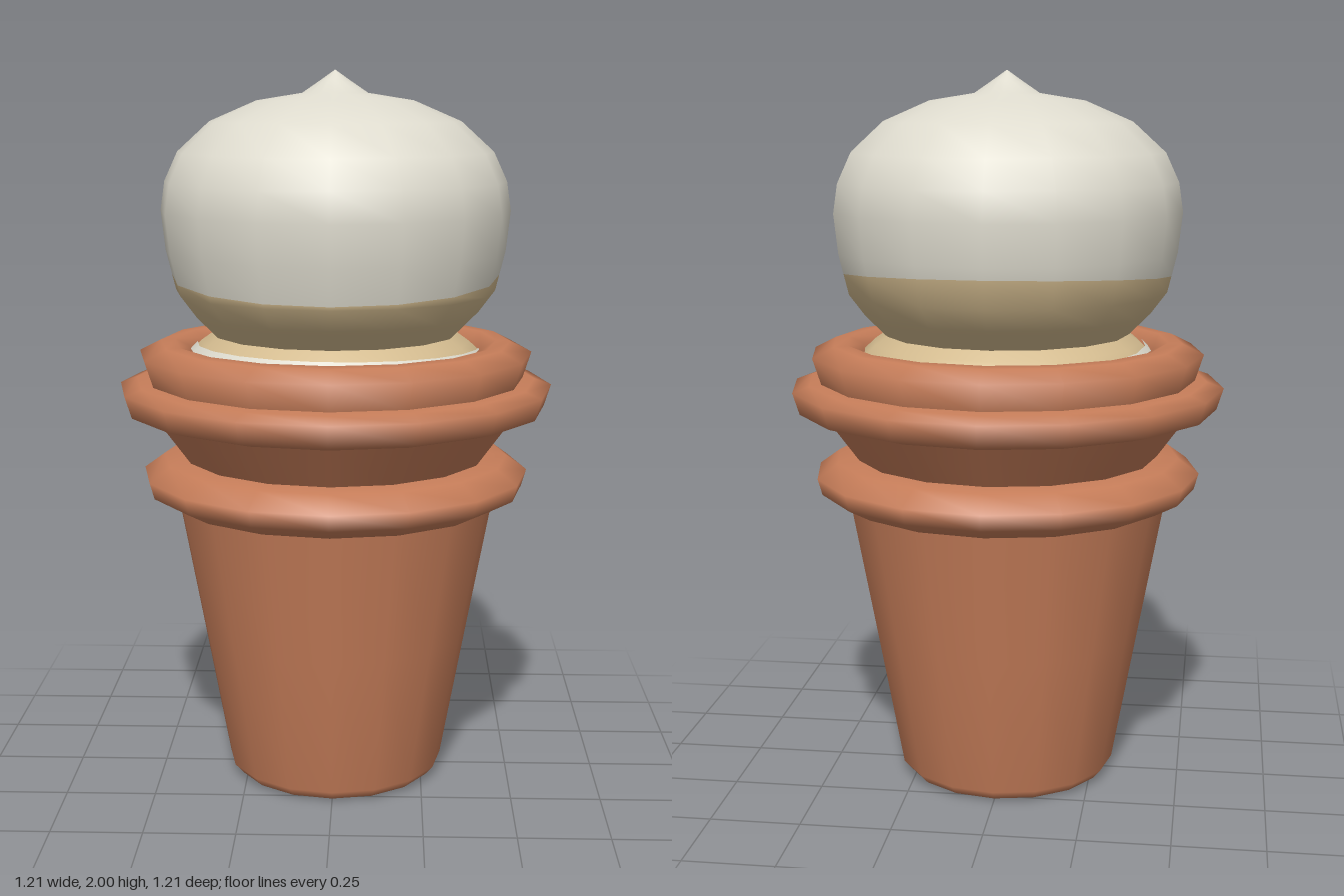
import * as THREE from 'three';

const SIDES = 16;

const flat = (name, color) => {
  const m = new THREE.MeshStandardMaterial({ color });
  m.name = name;
  return m;
};

// Surface of revolution; profile runs from bottom to top on the outside
const lathe = (profile, start = 0, sweep = Math.PI * 2, sides = SIDES) =>
  new THREE.LatheGeometry(profile.map(([r, y]) => new THREE.Vector2(r, y)), sides, start, sweep);

export function createModel() {
  const wafer = flat('wafer', 0xc67d59);
  const cream = flat('cream', 0xdedbce);
  const caramel = flat('caramel', 0xd3bb8f);

  const model = new THREE.Group();
  model.name = 'iceCreamCone';
  const add = (name, geometry, material) => {
    const mesh = new THREE.Mesh(geometry, material);
    mesh.name = name;
    model.add(mesh);
    return mesh;
  };

  // Tapered cup with a dimple underneath
  add('cup', lathe([[0, 0.055], [0.06, 0.045], [0.12, 0.004], [0.19, 0], [0.285, 0.008],
    [0.308, 0.035], [0.38, 0.43], [0.45, 0.81]]), wafer);
  add('collar', lathe([[0.42, 0.93], [0.515, 1.06]]), wafer);

  // Three rounded rings around the mouth
  add('lowerRing', lathe([[0.44, 0.805], [0.465, 0.81], [0.53, 0.845], [0.543, 0.89],
    [0.485, 0.932], [0.41, 0.938]]), wafer);
  add('middleRing', lathe([[0.49, 1.056], [0.53, 1.058], [0.588, 1.075], [0.607, 1.135],
    [0.56, 1.152], [0.51, 1.157]]), wafer);
  add('rim', lathe([[0.525, 1.15], [0.55, 1.228], [0.49, 1.258], [0.45, 1.26],
    [0.41, 1.24], [0.395, 1.19]]), wafer);

  // Soft skirt between the rim and the scoop
  add('skirt', lathe([[0.425, 1.2], [0.405, 1.23], [0.375, 1.258], [0.33, 1.29]]), caramel);

  // Pale streak on the skirt, tapering to both ends
  const arc = 14;
  const streak = lathe([[0.408, 1.232], [0.381, 1.259]], -2.5, 4.2, arc);
  const sp = streak.attributes.position;
  for (let i = 0; i <= arc; i++) {
    const a = i * 2, b = a + 1, t = Math.sin(Math.PI * i / arc) ** 0.6;
    sp.setXYZ(b,
      THREE.MathUtils.lerp(sp.getX(a), sp.getX(b), t),
      THREE.MathUtils.lerp(sp.getY(a), sp.getY(b), t),
      THREE.MathUtils.lerp(sp.getZ(a), sp.getZ(b), t));
  }
  add('skirtStreak', streak, cream);

  // Scoop with a small peak
  const profile = [[0.325, 1.265], [0.345, 1.285], [0.4, 1.34], [0.445, 1.4], [0.456, 1.445],
    [0.472, 1.51], [0.484, 1.62], [0.472, 1.7], [0.435, 1.78], [0.345, 1.862], [0.215, 1.918],
    [0.09, 1.938], [0.04, 1.972], [0, 2]];
  const scoop = lathe(profile);
  const n = profile.length, edge = 4;

  // Slant the colour edge: lower at the front, higher at the back
  const pos = scoop.attributes.position;
  for (let i = 0; i <= SIDES; i++) {
    const k = i * n + edge;
    const y = 1.444 - 0.075 * pos.getZ(k);
    const s = (0.445 + (y - 1.4) * 0.245) / profile[edge][0];
    pos.setXYZ(k, pos.getX(k) * s, y, pos.getZ(k) * s);
  }

  // Sort the faces into the caramel base and the cream dome
  const base = [], dome = [];
  const index = Array.from(scoop.index.array);
  for (let f = 0; f < index.length; f += 3) {
    const tri = index.slice(f, f + 3);
    const below = tri.every((v) => v % n <= edge);
    (below ? base : dome).push(...tri);
  }
  scoop.setIndex([...base, ...dome]);
  scoop.addGroup(0, base.length, 0);
  scoop.addGroup(base.length, dome.length, 1);
  add('scoop', scoop, [caramel, cream]);

  return model;
}
